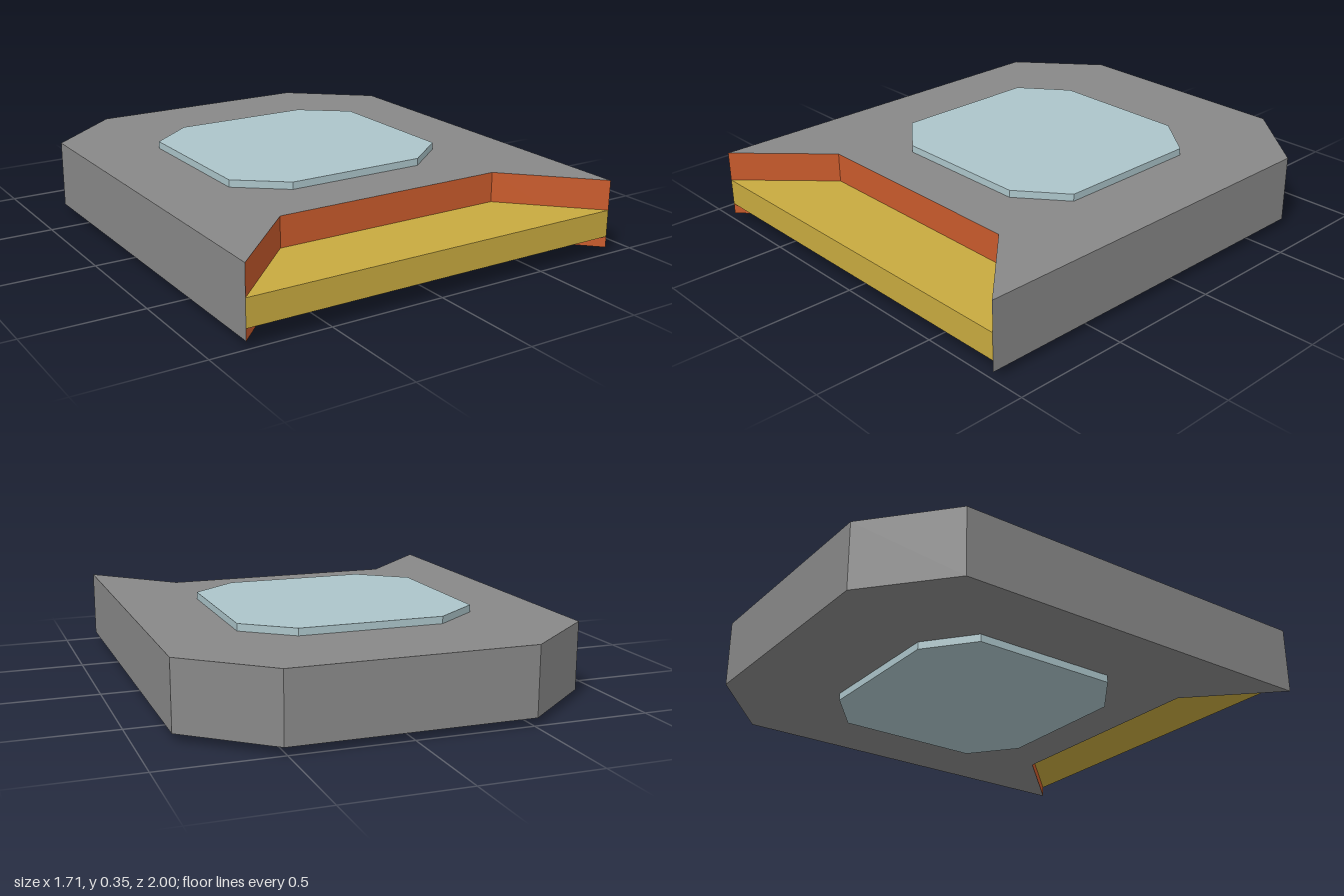
import * as THREE from 'three';

const material = (name, color) => {
  const m = new THREE.MeshStandardMaterial({ color });
  m.name = name;
  return m;
};

// Upright prism from an [x, z] outline, between two heights
function prism(outline, bottom, top) {
  const shape = new THREE.Shape(outline.map(([x, z]) => new THREE.Vector2(x, z)));
  const geometry = new THREE.ExtrudeGeometry(shape, { depth: top - bottom, bevelEnabled: false });
  geometry.rotateX(Math.PI / 2).translate(0, top, 0);
  return geometry;
}

// Completes a half outline (x > 0) with its mirror image
const mirrored = (half) => [...half, ...half.map(([x, z]) => [-x, z]).reverse()];

export function createModel() {
  const grey = material('grey shell', 0x888888);
  const orange = material('orange notch', 0xc95b2c);
  const gold = material('gold insert', 0xc8aa3f);
  const blue = material('pale blue panel', 0xacc5ca);

  const group = new THREE.Group();
  const add = (name, geometry, mat) => {
    const mesh = new THREE.Mesh(geometry, mat);
    mesh.name = name;
    group.add(mesh);
  };

  // Shell with chamfered rear corners and a tapered notch in front
  const body = prism(mirrored([[0.515, 0.66], [0.855, 1], [0.855, -0.71], [0.513, -1]]), 0.032, 0.324);
  // Walls facing forward are the notch walls
  const normal = body.attributes.normal;
  body.clearGroups();
  for (let i = 0; i < normal.count; i += 3) {
    body.addGroup(i, 3, normal.getZ(i) > 0.1 ? 1 : 0);
  }
  add('body', body, [grey, orange]);

  // Insert filling the notch at mid height
  add('frontInsert', prism(mirrored([[0.515, 0.66], [0.855, 1]]), 0.08, 0.195), gold);

  // Matching octagonal panels above and below
  const panel = mirrored([[0.31, 0.415], [0.513, 0.255], [0.513, -0.4], [0.31, -0.56]]);
  add('topPanel', prism(panel, 0.324, 0.355), blue);
  add('bottomPanel', prism(panel, 0, 0.032), blue);

  return group;
}
